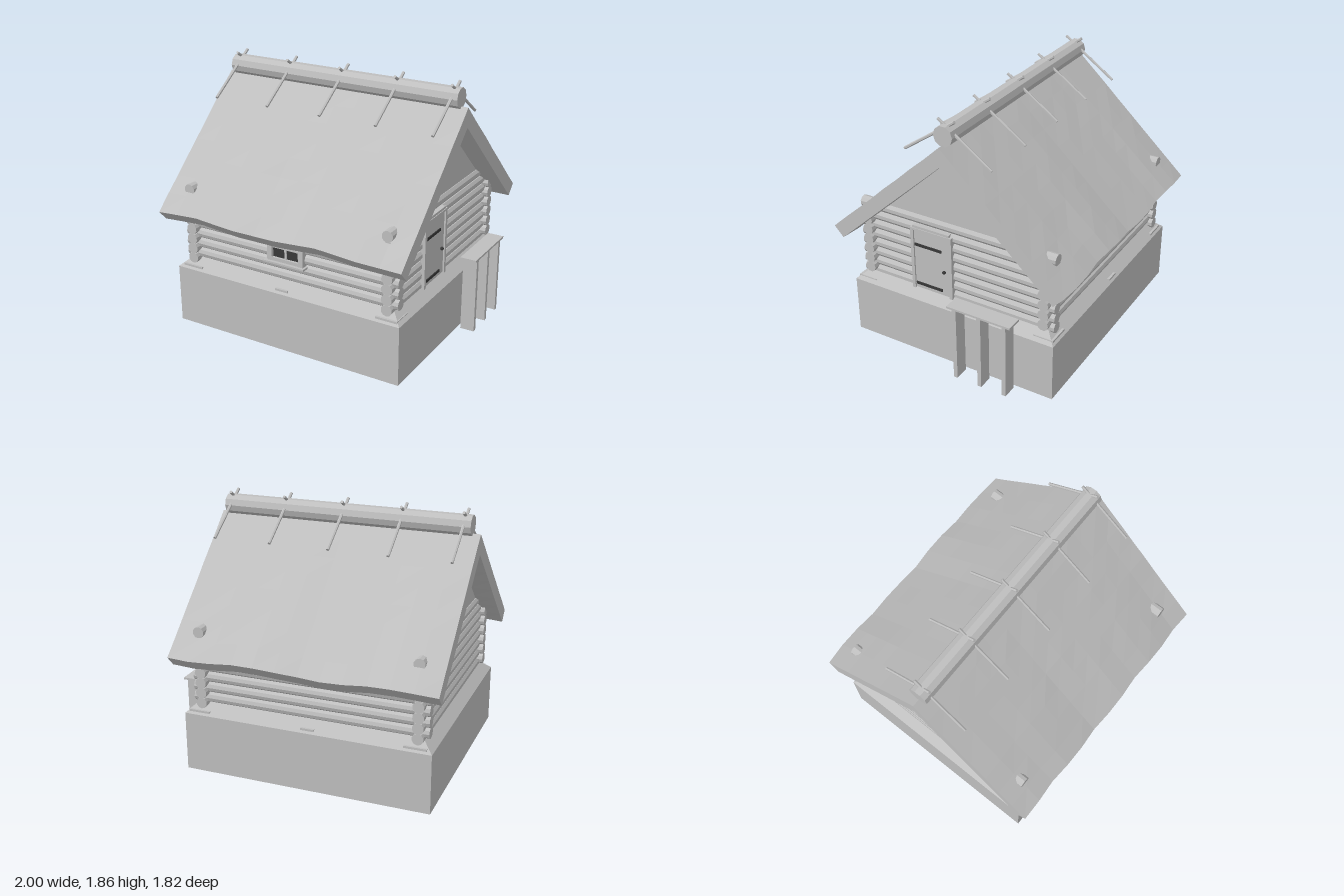
import * as THREE from 'three';

const timber = new THREE.MeshStandardMaterial({ color: 0xbebebe, flatShading: true, side: THREE.DoubleSide });
timber.name = 'pale grey timber';
const iron = new THREE.MeshStandardMaterial({ color: 0x383838, flatShading: true });
iron.name = 'dark grey';

export function createModel() {
  const model = new THREE.Group();
  const CX = -0.04; // middle of the house along x

  const add = (name, geometry, material = timber, parent = model) => {
    const mesh = new THREE.Mesh(geometry, material);
    mesh.name = name;
    parent.add(mesh);
    return mesh;
  };
  // Box given by its minimum and maximum corners
  const box = (name, [x0, y0, z0], [x1, y1, z1], material = timber, parent = model) => {
    const mesh = add(name, new THREE.BoxGeometry(x1 - x0, y1 - y0, z1 - z0), material, parent);
    mesh.position.set((x0 + x1) / 2, (y0 + y1) / 2, (z0 + z1) / 2);
    return mesh;
  };
  // Round bar between two points
  const bar = (name, from, to, radius, sides = 10, parent = model) => {
    const a = new THREE.Vector3(...from), b = new THREE.Vector3(...to);
    const dir = b.clone().sub(a);
    const mesh = add(name, new THREE.CylinderGeometry(radius, radius, dir.length(), sides), timber, parent);
    mesh.position.copy(a).add(b).multiplyScalar(0.5);
    mesh.quaternion.setFromUnitVectors(new THREE.Vector3(0, 1, 0), dir.normalize());
    return mesh;
  };
  const group = (name) => {
    const g = new THREE.Group();
    g.name = name;
    model.add(g);
    return g;
  };

  // Skirt around the foundation: upright boards with a sloping apron above
  const rings = [[0, 0], [0.43, 0], [0.535, 0.12]].map(([y, inset]) => {
    const w = 0.9 - inset, d = 0.805 - inset;
    return [[-w, d], [w, d], [w, -d], [-w, -d]].map(([x, z]) => [x + CX, y, z]);
  });
  const skirtPoints = [];
  for (let r = 0; r < 2; r++) {
    for (let i = 0; i < 4; i++) {
      const j = (i + 1) % 4;
      const a = rings[r][i], b = rings[r][j], c = rings[r + 1][j], d = rings[r + 1][i];
      skirtPoints.push(...a, ...b, ...c, ...a, ...c, ...d);
    }
  }
  const skirtGeometry = new THREE.BufferGeometry();
  skirtGeometry.setAttribute('position', new THREE.Float32BufferAttribute(skirtPoints, 3));
  skirtGeometry.computeVertexNormals();
  add('foundationSkirt', skirtGeometry);

  // Foundation posts, just breaking through the apron
  const posts = group('foundationPosts');
  for (const s of [1, -1]) {
    for (const [x, w] of [[-0.82, 0.08], [-0.06, 0.05], [0.755, 0.08]]) {
      const z = s * 0.715;
      box('foundationPost', [x - w, 0, z - 0.075], [x + w, 0.458, z + 0.075], timber, posts);
    }
  }

  // Log walls with crossed corners
  const walls = group('logWalls');
  for (const s of [1, -1]) {
    for (let k = 0; k < 6; k++) {
      const y = 0.54 + k * 0.077;
      bar('longLog', [-0.9, y, s * 0.7], [0.815, y, s * 0.7], 0.041, 10, walls);
    }
  }
  for (const x of [-0.83, 0.745]) {
    for (let k = 0; k < 8; k++) {
      const y = 0.508 + k * 0.0746;
      bar('gableLog', [x, y, -0.77], [x, y, 0.77], 0.041, 10, walls);
    }
    // Gable boards
    const shape = new THREE.Shape([
      new THREE.Vector2(-0.6, 1.02), new THREE.Vector2(0.6, 1.02), new THREE.Vector2(0, 1.58),
    ]);
    const gable = add('gable', new THREE.ExtrudeGeometry(shape, { depth: 0.04, bevelEnabled: false }));
    gable.rotation.y = Math.PI / 2;
    gable.position.x = x - 0.02;
  }

  // Roof slopes with uneven surface and wavy eaves
  const hash = (a, b) => {
    const v = Math.sin(a * 127.1 + b * 311.7) * 43758.5453;
    return v - Math.floor(v) - 0.5;
  };
  for (const s of [1, -1]) {
    const geometry = new THREE.BoxGeometry(1, 1, 1, 12, 1, 8);
    const p = geometry.attributes.position;
    for (let i = 0; i < p.count; i++) {
      const u = p.getX(i), top = p.getY(i) > 0, v = p.getZ(i) + 0.5;
      const x = u * 1.92, worldX = s * x + CX;
      const sag = 0.012 * v * Math.cos(2 * Math.PI * (worldX - 0.3));
      const bump = top && v > 0 && v < 1 ? 0.006 * hash(Math.round(u * 12), Math.round(v * 8) + s * 20) : 0;
      const ragged = 0.007 * v * Math.sin(13 * worldX + s);
      if (top) p.setXYZ(i, x, 1.7 - 0.82 * v + sag + bump, 0.905 * v + ragged);
      else p.setXYZ(i, x, 1.56 - 0.755 * v + sag, 0.835 * v + ragged);
    }
    geometry.computeVertexNormals();
    const slope = add(s > 0 ? 'frontRoofSlope' : 'backRoofSlope', geometry);
    slope.position.x = CX;
    slope.rotation.y = s > 0 ? 0 : Math.PI;
  }

  // Ridge log and the crossed sticks that hold it
  bar('ridgeLog', [-0.945, 1.757, 0], [0.87, 1.757, 0], 0.072, 10);
  const sticks = group('ridgeSticks');
  for (const x of [-0.895, -0.46, -0.03, 0.405, 0.825]) {
    for (const s of [1, -1]) {
      bar('ridgeStick', [x, 1.58, s * 0.33], [x, 1.853, s * -0.063], 0.011, 6, sticks);
    }
  }

  // Front window
  const win = group('window');
  box('windowGlass', [-0.16, 0.66, 0.69], [0.085, 0.84, 0.745], iron, win);
  for (const x of [-0.185, 0.065]) box('windowJamb', [x, 0.64, 0.64], [x + 0.038, 0.87, 0.765], timber, win);
  for (const y of [0.64, 0.835]) box('windowRail', [-0.185, y, 0.64], [0.103, y + 0.035, 0.762], timber, win);
  box('windowMullion', [-0.05, 0.66, 0.65], [-0.034, 0.85, 0.755], timber, win);
  box('windowCrossbar', [-0.16, 0.745, 0.65], [0.08, 0.76, 0.755], timber, win);
  box('windowSill', [-0.21, 0.637, 0.7], [0.12, 0.65, 0.785], timber, win);

  // Door on the right gable
  const door = group('door');
  box('doorLeaf', [0.72, 0.49, 0.03], [0.793, 0.96, 0.32], timber, door);
  for (const z of [0.01, 0.318]) box('doorJamb', [0.71, 0.485, z], [0.805, 0.965, z + 0.024], timber, door);
  box('doorLintel', [0.71, 0.955, 0.01], [0.805, 0.972, 0.342], timber, door);
  box('doorCap', [0.71, 0.972, 0.03], [0.8, 0.99, 0.325], timber, door);
  for (const y of [0.84, 0.528]) box('hinge', [0.792, y - 0.01, 0.097], [0.8, y + 0.01, 0.312], iron, door);
  const knob = add('doorKnob', new THREE.SphereGeometry(0.013, 10, 8), iron, door);
  knob.position.set(0.803, 0.687, 0.075);

  // Bench of planks beside the gable wall
  const bench = group('bench');
  box('benchTop', [0.88, 0.565, -0.56], [1.0, 0.58, -0.07], timber, bench);
  for (const z of [-0.123, -0.315, -0.508]) {
    box('benchLeg', [0.887, 0, z - 0.015], [0.992, 0.566, z + 0.015], timber, bench);
  }

  return model;
}
